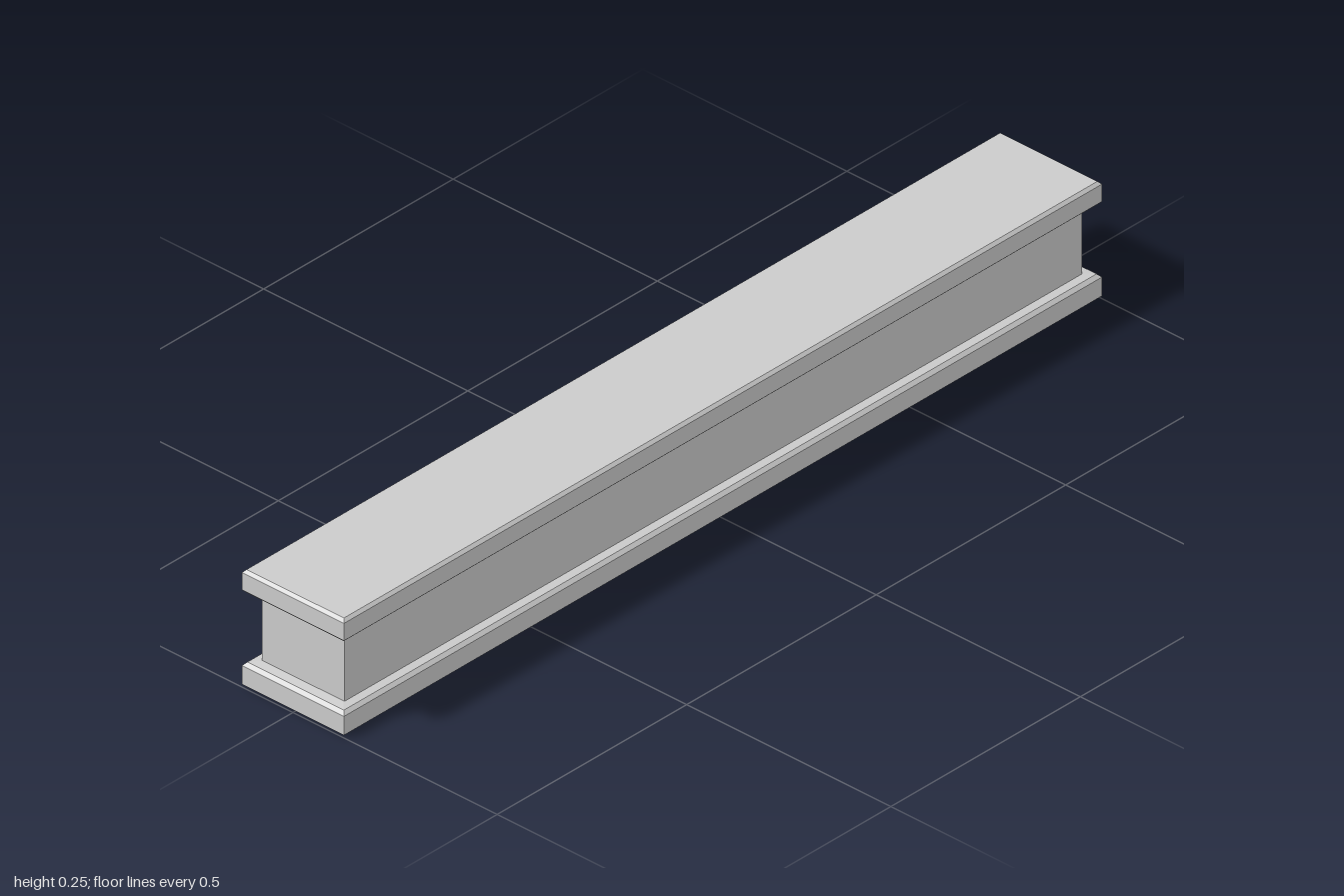
import * as THREE from 'three';

const material = new THREE.MeshStandardMaterial({ color: 0xcccccc, flatShading: true });

// Stack of rectangular sections, each [inset from the full outline, height], capped at both ends
function slab(name, sections) {
  const corners = [[1, 1], [1, -1], [-1, -1], [-1, 1]];
  const positions = [];
  const index = [];
  for (const [inset, y] of sections) {
    for (const [sx, sz] of corners) positions.push(sx * (1 - inset), y, sz * (0.125 - inset));
  }
  for (let i = 0; i < sections.length - 1; i++) {
    for (let j = 0; j < 4; j++) {
      const a = i * 4 + j, b = i * 4 + (j + 1) % 4;
      index.push(a, b, b + 4, a, b + 4, a + 4);
    }
  }
  const t = (sections.length - 1) * 4;
  index.push(0, 2, 1, 0, 3, 2, t, t + 1, t + 2, t, t + 2, t + 3);
  const indexed = new THREE.BufferGeometry();
  indexed.setAttribute('position', new THREE.Float32BufferAttribute(positions, 3));
  indexed.setIndex(index);
  const geometry = indexed.toNonIndexed();
  geometry.computeVertexNormals();
  const mesh = new THREE.Mesh(geometry, material);
  mesh.name = name;
  return mesh;
}

export function createModel() {
  const beam = new THREE.Group();
  beam.name = 'beam';

  // Bevelled flanges, with a shallow slope running in to the core
  beam.add(slab('bottomFlange', [[0.007, 0], [0, 0.006], [0, 0.046], [0.007, 0.053], [0.024, 0.055]]));
  beam.add(slab('topFlange', [[0.024, 0.196], [0.007, 0.2], [0, 0.207], [0, 0.244], [0.006, 0.25]]));

  // Solid core, set back on all four sides
  const core = new THREE.Mesh(new THREE.BoxGeometry(1.946, 0.16, 0.202), material);
  core.name = 'core';
  core.position.y = 0.125;
  beam.add(core);

  return beam;
}
